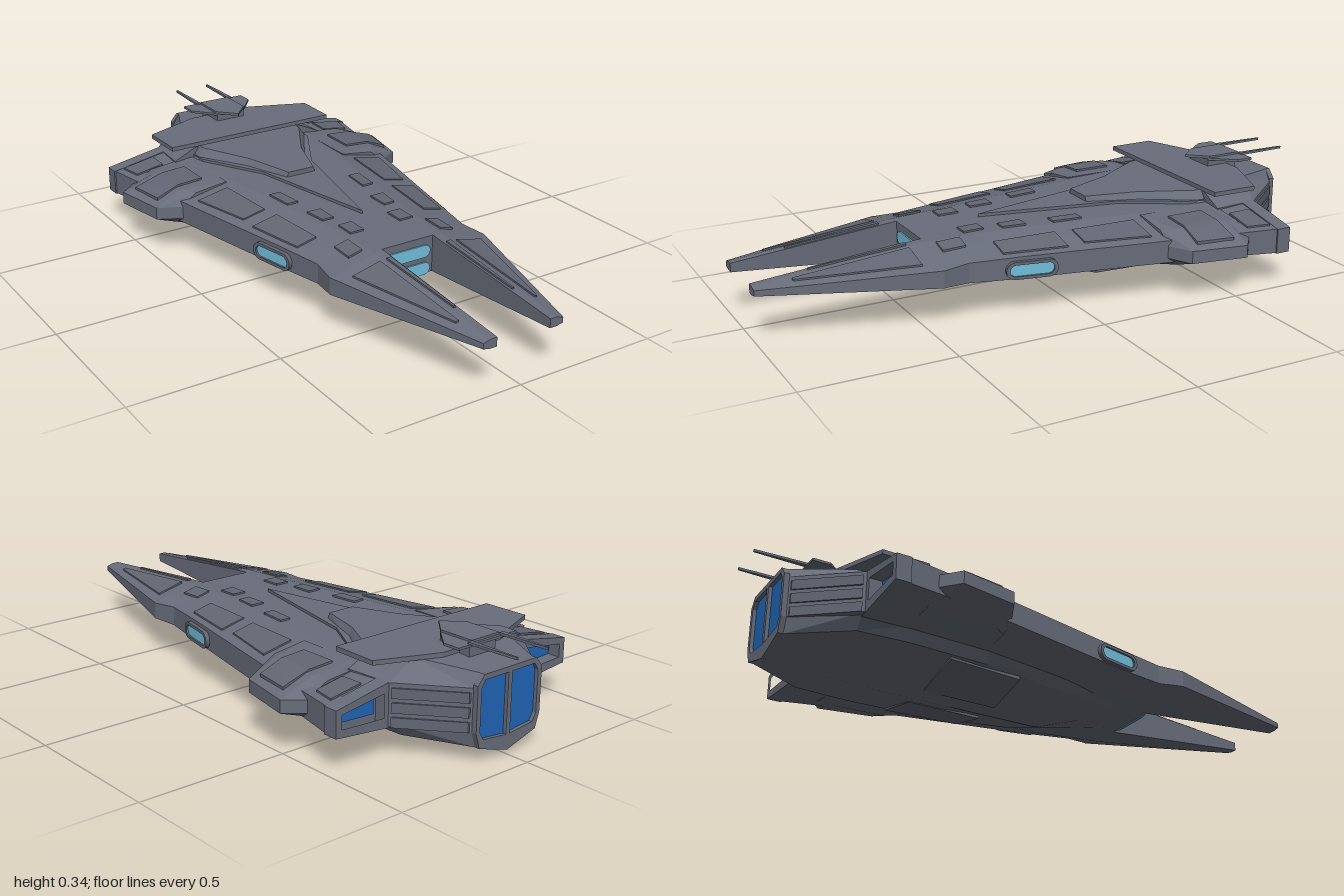
import * as THREE from 'three';

const mat = (name, color) => {
  const m = new THREE.MeshStandardMaterial({ color, flatShading: true });
  m.name = name;
  return m;
};

export function createModel() {
  const hullGrey = mat('hull grey', 0x686d7a);
  const panelGrey = mat('panel grey', 0x626773);
  const cyan = mat('window cyan', 0x72bfdd);
  const blue = mat('engine blue', 0x1f66b8);
  const ship = new THREE.Group();
  ship.name = 'ship';

  const add = (name, geo, material = hullGrey) => {
    const m = new THREE.Mesh(geo, material);
    m.name = name;
    ship.add(m);
    return m;
  };

  // Skin between rings of [x, y, z], front to back, clockwise seen from the front
  function loft(rings, side) {
    const pos = [];
    const tri = (a, b, c) => {
      for (const p of side > 0 ? [a, b, c] : [a, c, b]) pos.push(p[0] * side, p[1], p[2]);
    };
    const n = rings[0].length;
    for (let s = 0; s < rings.length - 1; s++) {
      for (let i = 0; i < n; i++) {
        const j = (i + 1) % n, f = rings[s], b = rings[s + 1];
        tri(f[i], f[j], b[j]);
        tri(f[i], b[j], b[i]);
      }
    }
    const first = rings[0], last = rings[rings.length - 1];
    for (let i = 1; i < n - 1; i++) {
      tri(first[0], first[i + 1], first[i]);
      tri(last[0], last[i], last[i + 1]);
    }
    const g = new THREE.BufferGeometry();
    g.setAttribute('position', new THREE.Float32BufferAttribute(pos, 3));
    g.computeVertexNormals();
    return g;
  }
  const pair = (name, rings, material) => {
    for (const s of [1, -1]) add(name, loft(rings, s), material);
  };
  const at = (z, pts) => pts.map(([x, y]) => [x, y, z]);

  // Horizontal slab from half an outline of [x, z], mirrored
  function slab(name, half, y0, y1, material) {
    const full = [...half, ...half.slice().reverse().map(([x, z]) => [-x, z])];
    const shape = new THREE.Shape(full.map(([x, z]) => new THREE.Vector2(x, -z)));
    const g = new THREE.ExtrudeGeometry(shape, { depth: y1 - y0, bevelEnabled: false });
    g.rotateX(-Math.PI / 2).translate(0, y0, 0);
    return add(name, g, material);
  }

  const poly = (C, pts) => new C(pts.map(p => new THREE.Vector2(...p)));
  const pill = (w, h) => {
    const r = h / 2, s = new THREE.Shape();
    s.absarc(w / 2 - r, 0, r, -Math.PI / 2, Math.PI / 2);
    s.absarc(-w / 2 + r, 0, r, Math.PI / 2, Math.PI * 1.5);
    return s;
  };
  const extrude = (shape, depth) =>
    new THREE.ExtrudeGeometry(shape, { depth, bevelEnabled: false, curveSegments: 10 });

  // Hull stations: z, edge x, upper edge y, lower edge y, ridge x, top y, bottom x, bottom y
  const stations = [
    [1, 0.145, 0.178, 0.16, 0.12, 0.185, 0.12, 0.155],
    [0.45, 0.295, 0.192, 0.135, 0.13, 0.232, 0.2, 0.108],
    [0.44, 0.293, 0.192, 0.135, 0.13, 0.232, 0.2, 0.107],
    [0.36, 0.28, 0.196, 0.13, 0.135, 0.234, 0.2, 0.1],
    [0.2, 0.31, 0.198, 0.125, 0.15, 0.236, 0.22, 0.095],
    [-0.29, 0.41, 0.2, 0.125, 0.22, 0.238, 0.26, 0.095],
    [-0.57, 0.465, 0.2, 0.12, 0.25, 0.238, 0.28, 0.095],
    [-0.67, 0.483, 0.2, 0.116, 0.26, 0.238, 0.28, 0.095],
  ];
  const ring = (inner) => ([z, xe, yu, yl, xr, yt, xb, yb]) =>
    at(z, [[inner, yt], [xr, yt], [xe, yu], [xe, yl], [xb, yb], [inner, yb]]);
  pair('hull', stations.slice(2).map(ring(0)));
  pair('prong', stations.slice(0, 3).map(ring(0.097)));

  // Height of the upper deck at a point
  function deckY(x, z) {
    let i = 0;
    while (i < stations.length - 2 && stations[i + 1][0] > z) i++;
    const a = stations[i], b = stations[i + 1], t = (z - a[0]) / (b[0] - a[0]);
    const [, xe, yu, , xr, yt] = a.map((v, k) => v + (b[k] - v) * t);
    return x < xr ? yt : yt + (yu - yt) * (x - xr) / (xe - xr);
  }
  // Raised deck panel: front inner, front outer, back outer, back inner as [x, z]
  function panel(name, [fi, fo, bo, bi], lift = 0.006) {
    const p = ([x, z], d) => [x, deckY(x, z) + d, z];
    const row = (a, b) => [p(a, lift), p(b, lift), p(b, -0.012), p(a, -0.012)];
    pair(name, [row(fi, fo), row(bi, bo)], panelGrey);
  }
  panel('prongPanel', [[0.14, 0.88], [0.15, 0.88], [0.245, 0.5], [0.145, 0.5]]);
  panel('prongRib', [[0.105, 0.82], [0.112, 0.82], [0.122, 0.5], [0.105, 0.5]]);
  panel('bowPanel', [[0.15, 0.41], [0.2, 0.41], [0.2, 0.33], [0.15, 0.33]]);
  panel('deckPanel', [[0.21, 0.24], [0.28, 0.24], [0.32, 0.03], [0.23, 0.03]]);
  panel('deckPanel', [[0.24, -0.03], [0.32, -0.03], [0.37, -0.25], [0.26, -0.25]]);
  panel('innerPanel', [[0.07, 0.3], [0.12, 0.3], [0.12, 0.23], [0.07, 0.23]]);
  panel('innerPanel', [[0.1, 0.17], [0.14, 0.17], [0.15, 0.09], [0.1, 0.09]]);
  panel('innerPanel', [[0.13, 0.0], [0.17, 0.0], [0.18, -0.1], [0.14, -0.1]]);
  panel('aftPanel', [[0.34, -0.58], [0.44, -0.58], [0.455, -0.66], [0.34, -0.66]]);

  // Side sponsons
  const pod = [[-0.29, 0.36, 0.222, 0.41], [-0.33, 0.39, 0.228, 0.49],
    [-0.52, 0.4, 0.228, 0.525], [-0.57, 0.39, 0.222, 0.465]];
  pair('sponson', pod.map(([z, xr, yr, xe]) => at(z,
    [[0.24, 0.238], [xr, yr], [xe, 0.182], [xe, 0.14], [xr, 0.105], [0.24, 0.098]])));
  pair('sponsonPanel', [[-0.36, 0.47], [-0.49, 0.49]].map(([z, x]) => at(z,
    [[0.3, 0.241], [0.39, 0.235], [x, 0.204], [x, 0.17], [0.3, 0.17]])), panelGrey);

  // Wing engine nozzles with recessed glow
  for (const s of [1, -1]) {
    const m = pts => pts.map(([x, y]) => [x * s, y]);
    const frame = poly(THREE.Shape, m([[0.24, 0.238], [0.29, 0.236], [0.488, 0.2], [0.488, 0.115], [0.28, 0.095], [0.24, 0.095]]));
    const hole = m([[0.305, 0.205], [0.465, 0.182], [0.465, 0.138], [0.305, 0.13]]);
    frame.holes.push(poly(THREE.Path, hole));
    add('wingNozzle', extrude(frame, 0.05)).position.z = -0.72;
    add('wingGlow', extrude(poly(THREE.Shape, hole), 0.006), blue).position.z = -0.676;
  }

  // Keel with V-shaped belly
  const keel = [[0.38, 0.09, 0.07, 0.1, 0.1], [0.22, 0.16, 0.12, 0.085, 0.068], [0.05, 0.215, 0.175, 0.065, 0.005],
    [-0.28, 0.265, 0.235, 0.06, 0.003], [-0.55, 0.275, 0.245, 0.06, 0.001], [-0.72, 0.27, 0.235, 0.06, 0.006],
    [-0.905, 0.136, 0.12, 0.05, 0.015]];
  pair('keel', keel.map(([z, xw, xm, ym, yc]) => at(z, [[0, 0.13], [xw, 0.105], [xm, ym], [0, yc]])));
  pair('keelPanel', [[-0.14, 0.21], [-0.4, 0.23]].map(([z, x]) => at(z,
    [[0.05, 0.05], [x, 0.08], [x, 0.05], [0.05, 0.012]])), panelGrey);

  // Tapered stern with side ribs
  const stern = [[-0.56, 0.22, 0.272, 0.3], [-0.72, 0.19, 0.29, 0.288], [-0.905, 0.11, 0.275, 0.136]];
  pair('stern', stern.map(([z, xt, yt, xe]) => at(z,
    [[0, yt], [xt, yt], [xe, 0.235], [xe, 0.1], [0, 0.08]])));
  for (const y of [0.115, 0.16, 0.205]) {
    pair('sternRib', [[-0.73, 0.288], [-0.9, 0.146]].map(([z, x]) => at(z,
      [[x - 0.05, y + 0.016], [x, y + 0.016], [x, y - 0.016], [x - 0.05, y - 0.016]])), panelGrey);
  }

  // Main engine frame with two glowing panels
  const sternFrame = poly(THREE.Shape, [[0, 0.015], [0.12, 0.05], [0.136, 0.1], [0.136, 0.245],
    [0.11, 0.275], [-0.11, 0.275], [-0.136, 0.245], [-0.136, 0.1], [-0.12, 0.05]]);
  for (const s of [1, -1]) {
    const hole = [[0.008, 0.065], [0.105, 0.075], [0.12, 0.1], [0.12, 0.235], [0.105, 0.258], [0.008, 0.258]]
      .map(([x, y]) => [x * s, y]);
    sternFrame.holes.push(poly(THREE.Path, hole));
    add('mainGlow', extrude(poly(THREE.Shape, hole), 0.006), blue).position.z = -0.91;
  }
  add('sternFrame', extrude(sternFrame, 0.018)).position.z = -0.922;

  // Stepped superstructure
  slab('spearDeck', [[0, 0.19], [0.1, -0.28], [0.22, -0.5], [0.24, -0.72]], 0.22, 0.247);
  pair('upperDeck', [
    at(-0.19, [[0, 0.264], [0.05, 0.264], [0.06, 0.235], [0, 0.235]]),
    at(-0.36, [[0, 0.27], [0.105, 0.27], [0.125, 0.235], [0, 0.235]]),
    at(-0.53, [[0, 0.276], [0.2, 0.276], [0.23, 0.235], [0, 0.235]]),
    at(-0.72, [[0, 0.28], [0.21, 0.28], [0.235, 0.235], [0, 0.235]]),
  ]);
  slab('bridgeBase', [[0.18, -0.56], [0.2, -0.7], [0.1, -0.75]], 0.27, 0.29, panelGrey);
  slab('bridgePlatform', [[0.322, -0.53], [0.325, -0.69], [0.12, -0.77]], 0.287, 0.302);
  slab('bridgeTower', [[0.055, -0.69], [0.055, -0.81]], 0.28, 0.328);
  slab('bridgeRoof', [[0.055, -0.69], [0.122, -0.77], [0.122, -0.83]], 0.323, 0.331);
  slab('bridgeCap', [[0, -0.63], [0.058, -0.695], [0.058, -0.82]], 0.329, 0.338);
  pair('antenna', [[-0.82, 0.058, 0.075], [-1, 0.062, 0.068]].map(([z, a, b]) => at(z,
    [[a, 0.337], [b, 0.337], [b, 0.329], [a, 0.329]])));

  // Bow windows between the prongs
  for (const y of [0.125, 0.185]) {
    add('bowWindow', extrude(pill(0.172, 0.042), 0.006), cyan).position.set(0, y, 0.439);
  }

  // Side windows in raised surrounds
  for (const s of [1, -1]) {
    const place = (m, out) => {
      m.position.set(s * (0.318 + out), 0.157, 0.16);
      m.rotation.y = s * 1.37;
    };
    const surround = pill(0.17, 0.058);
    surround.holes.push(pill(0.145, 0.038));
    place(add('sideWindowSurround', extrude(surround, 0.018), panelGrey), -0.004);
    place(add('sideWindow', extrude(pill(0.145, 0.038), 0.008), cyan), 0);
  }
  return ship;
}
